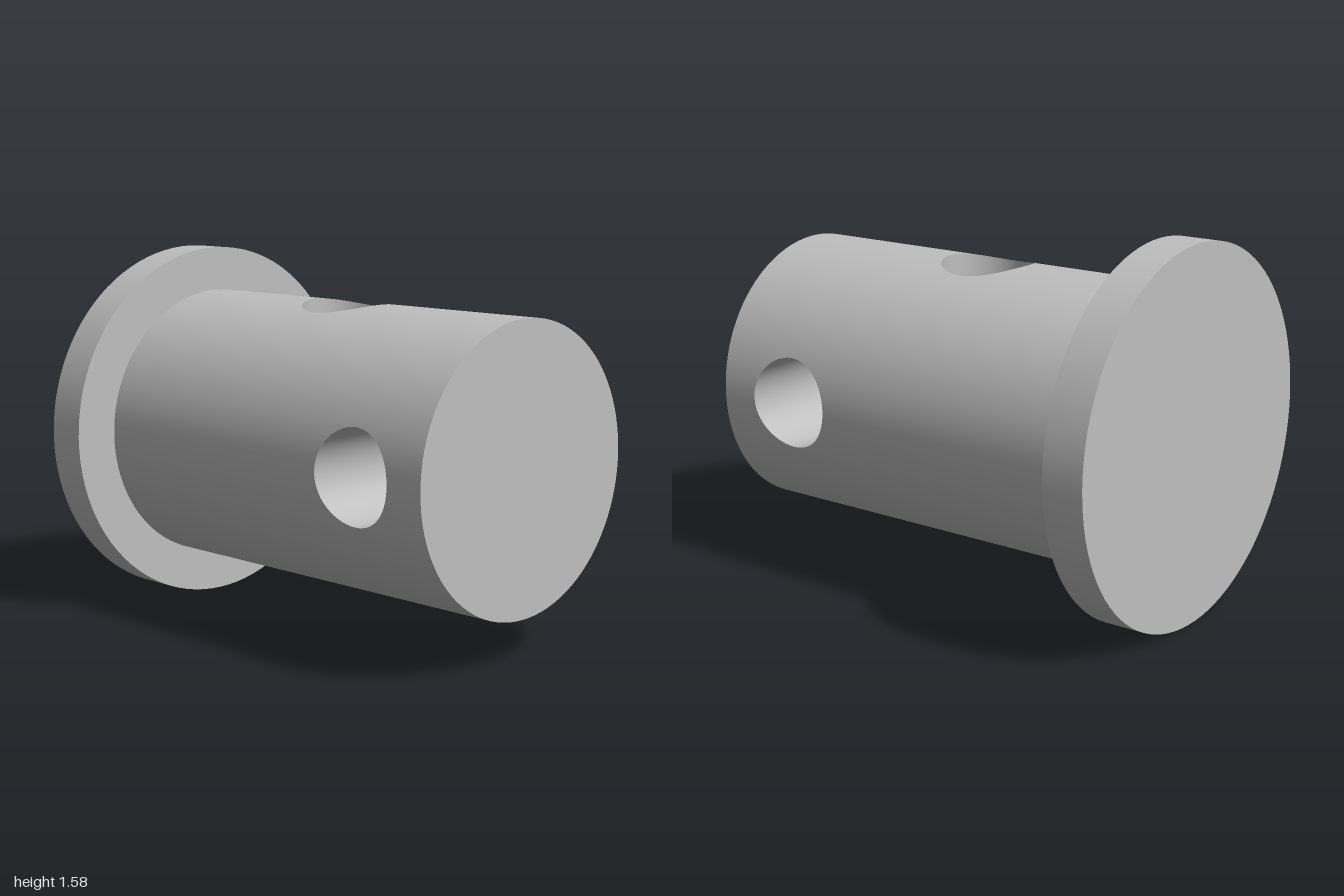
import * as THREE from 'three';

const R = 0.597, FLANGE_R = 0.788, HOLE_R = 0.195;
const X0 = -1, X1 = -0.82, X2 = 1;
const SEG = 96;

// Surface from a rule fn(u, v) -> [position, normal]; it faces du x dv
function surface(nu, nv, fn) {
  const pos = [], nor = [], idx = [];
  for (let i = 0; i <= nu; i++) {
    for (let j = 0; j <= nv; j++) {
      const [p, n] = fn(i / nu, j / nv);
      pos.push(...p);
      nor.push(...n);
      if (i < nu && j < nv) {
        const a = i * (nv + 1) + j, b = a + nv + 1;
        idx.push(a, b, a + 1, b, b + 1, a + 1);
      }
    }
  }
  const g = new THREE.BufferGeometry();
  g.setAttribute('position', new THREE.Float32BufferAttribute(pos, 3));
  g.setAttribute('normal', new THREE.Float32BufferAttribute(nor, 3));
  g.setIndex(idx);
  return g;
}

// Quarter of the shaft wall, spreading from the hole rim to the panel border
function wallPanel(holeX) {
  const q = Math.PI / 4;
  const corners = [[X2, q], [X1, q], [X1, -q], [X2, -q], [X2, q]];
  return surface(16, SEG, (u, v) => {
    const f = 1 - v, t = q + f * Math.PI * 2;
    const side = Math.min(3, Math.floor(f * 4)), k = f * 4 - side;
    const [c, d] = [corners[side], corners[side + 1]];
    const rimX = holeX + HOLE_R * Math.cos(t);
    const rimA = Math.asin(HOLE_R * Math.sin(t) / R);
    const x = THREE.MathUtils.lerp(rimX, THREE.MathUtils.lerp(c[0], d[0], k), u);
    const a = THREE.MathUtils.lerp(rimA, THREE.MathUtils.lerp(c[1], d[1], k), u);
    return [[x, R * Math.cos(a), R * Math.sin(a)], [0, Math.cos(a), Math.sin(a)]];
  });
}

// Inside of a cross hole, running between the two curved rims
function bore(holeX) {
  return surface(1, SEG, (u, v) => {
    const t = Math.PI / 4 + v * Math.PI * 2;
    const c = Math.cos(t), s = Math.sin(t), z = HOLE_R * s;
    const y = Math.sqrt(R * R - z * z) * (1 - 2 * u);
    return [[holeX + HOLE_R * c, y, z], [-c, 0, -s]];
  });
}

export function createModel() {
  const model = new THREE.Group();
  model.name = 'flangedPin';
  const metal = new THREE.MeshStandardMaterial({ color: 0xbfbfbf });
  metal.name = 'grey metal';

  const add = (parent, name, geometry) => {
    const mesh = new THREE.Mesh(geometry, metal);
    mesh.name = name;
    parent.add(mesh);
  };
  const group = (name) => {
    const g = new THREE.Group();
    g.name = name;
    g.position.y = FLANGE_R;
    model.add(g);
    return g;
  };

  // Shaft: one vertical and one front-to-back hole
  const shaft = group('shaft');
  [0.025, 0.633].forEach((holeX, i) => {
    const turn = i * Math.PI / 2;
    add(shaft, 'shaftWall', wallPanel(holeX).rotateX(turn));
    add(shaft, 'shaftWall', wallPanel(holeX).rotateX(turn + Math.PI));
    add(shaft, 'crossHole', bore(holeX).rotateX(turn));
  });
  add(shaft, 'shaftEnd',
    new THREE.CircleGeometry(R, SEG).rotateY(Math.PI / 2).translate(X2, 0, 0));

  // Flange: rim, outer disc and the shoulder around the shaft
  const flange = group('flange');
  add(flange, 'flangeRim',
    new THREE.CylinderGeometry(FLANGE_R, FLANGE_R, X1 - X0, SEG, 1, true)
      .rotateZ(Math.PI / 2).translate((X0 + X1) / 2, 0, 0));
  add(flange, 'flangeFace',
    new THREE.CircleGeometry(FLANGE_R, SEG).rotateY(-Math.PI / 2).translate(X0, 0, 0));
  add(flange, 'flangeShoulder',
    new THREE.RingGeometry(R, FLANGE_R, SEG).rotateY(Math.PI / 2).translate(X1, 0, 0));

  return model;
}
